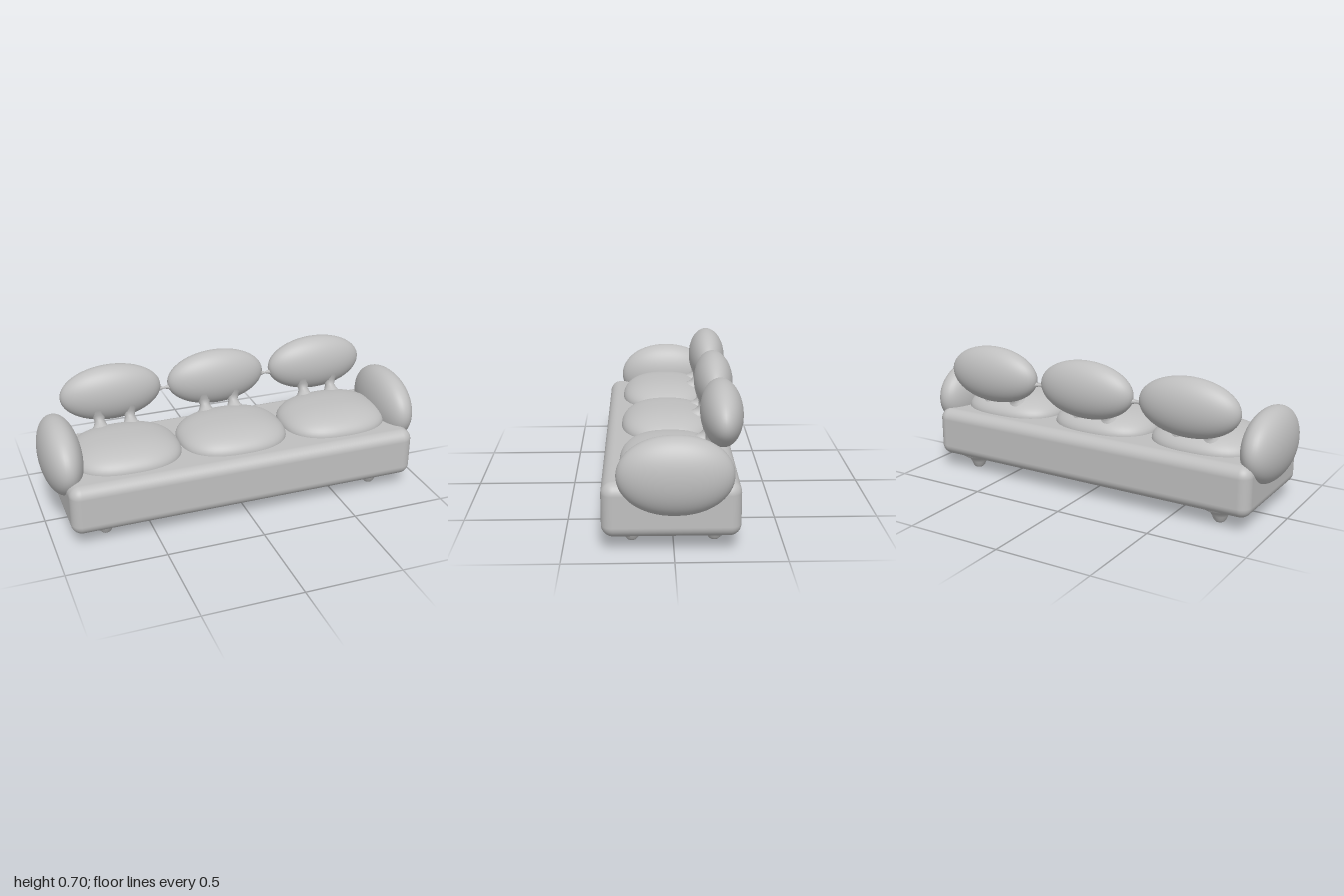
import * as THREE from 'three';
import { RoundedBoxGeometry } from 'three/addons/geometries/RoundedBoxGeometry.js';

// Puffy ellipsoid: power 1 is a true ellipsoid, lower values give a squarer plan (x/z)
function puff(rx, ry, rz, power = 1) {
  const g = new THREE.SphereGeometry(1, 48, 32);
  const p = g.attributes.position;
  const n = g.attributes.normal;
  const soft = (v) => Math.sign(v) * Math.pow(Math.abs(v), power);
  for (let i = 0; i < p.count; i++) {
    const y = p.getY(i);
    const ring = Math.hypot(p.getX(i), p.getZ(i));
    const c = ring > 1e-6 ? p.getX(i) / ring : 0;
    const s = ring > 1e-6 ? p.getZ(i) / ring : 0;
    const r = Math.pow(ring, power);
    p.setXYZ(i, rx * r * soft(c), ry * y, rz * r * soft(s));
    // gradient of the rounded-square solid
    const e = 2 / power - 1;
    const grad = (v) => Math.sign(v) * Math.pow(Math.abs(v), e);
    const v = new THREE.Vector3(grad(r * soft(c)) / rx, y / ry, grad(r * soft(s)) / rz).normalize();
    n.setXYZ(i, v.x, v.y, v.z);
  }
  return g;
}

export function createModel() {
  const sofa = new THREE.Group();
  sofa.name = 'sofa';
  const fabric = new THREE.MeshStandardMaterial({ color: 0xbfbfbf });
  fabric.name = 'grey fabric';

  const add = (name, geometry, x, y, z) => {
    const mesh = new THREE.Mesh(geometry, fabric);
    mesh.name = name;
    mesh.position.set(x, y, z);
    sofa.add(mesh);
    return mesh;
  };

  // Long soft-edged base
  add('base', new RoundedBoxGeometry(1.83, 0.257, 0.627, 6, 0.055), 0, 0.2, 0.012);

  // Three seat cushions, each with a back cushion and the short necks that join them
  const seatGeo = puff(0.285, 0.11, 0.235, 0.8);
  const backGeo = puff(0.265, 0.148, 0.099);
  const neckGeo = new THREE.LatheGeometry(
    [[0.06, -0.05], [0.035, -0.025], [0.025, 0], [0.035, 0.025], [0.06, 0.05]]
      .map(([r, y]) => new THREE.Vector2(r, y)), 20);
  for (const x of [-0.57, 0, 0.57]) {
    add('seatCushion', seatGeo, x, 0.325, 0.01);
    add('backCushion', backGeo, x, 0.557, -0.229);
    for (const dx of [-0.08, 0.08]) {
      const neck = add('cushionNeck', neckGeo, x + dx, 0.43, -0.17);
      neck.rotation.x = -0.5;
    }
  }

  // Thin links where neighbouring back cushions touch
  const linkGeo = new THREE.LatheGeometry(
    [[0.06, -0.06], [0.025, -0.03], [0.008, 0], [0.025, 0.03], [0.06, 0.06]]
      .map(([r, y]) => new THREE.Vector2(r, y)), 16);
  linkGeo.rotateZ(Math.PI / 2);

  // Legs flare into the underside
  const legGeo = new THREE.LatheGeometry(
    [[0, 0], [0.022, 0], [0.032, 0.012], [0.04, 0.032], [0.052, 0.052], [0.085, 0.073], [0.085, 0.09]]
      .map(([r, y]) => new THREE.Vector2(r, y)), 24);

  // Upright oval arms, mirrored parts
  const armGeo = puff(0.104, 0.183, 0.262, 0.94);
  for (const side of [-1, 1]) {
    add('arm', armGeo, side * 0.896, 0.366, -0.005);
    add('cushionLink', linkGeo, side * 0.285, 0.535, -0.225).scale.set(1, 0.6, 0.5);
    for (const z of [0.19, -0.19]) add('leg', legGeo, side * 0.73, 0, z);
  }

  return sofa;
}
